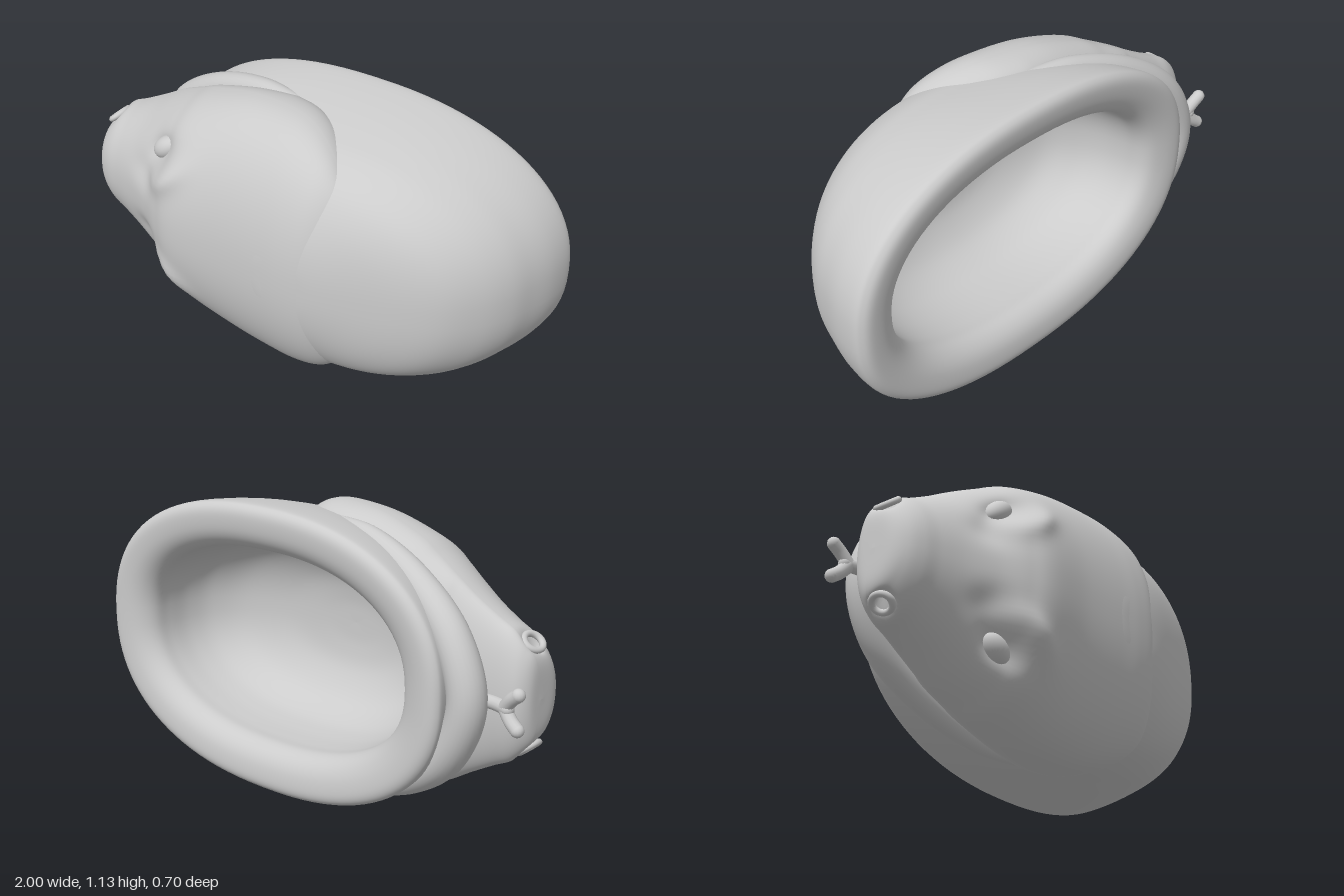
import * as THREE from 'three';

const material = new THREE.MeshStandardMaterial({ color: 0xcccccc });
const doubleSided = new THREE.MeshStandardMaterial({ color: 0xcccccc, side: THREE.DoubleSide });

// Smoothly resample a short table of cross-sections into n + 1 rows
function resample(table, n) {
  const size = table[0].length;
  const spline = new THREE.CubicInterpolant(table.map((_, i) => i), table.flat(), size);
  const rows = [];
  for (let i = 0; i <= n; i++) rows.push([...spline.evaluate((i / n) * (table.length - 1))]);
  return rows;
}

// Skin a list of rings of equal point count
function loft(rings, closed) {
  const m = rings[0].length;
  const index = [];
  for (let i = 0; i < rings.length - 1; i++) {
    for (let j = 0; j < (closed ? m : m - 1); j++) {
      const k = (j + 1) % m;
      const a = i * m + j, b = i * m + k, c = a + m, d = b + m;
      index.push(a, c, d, a, d, b);
    }
  }
  const geometry = new THREE.BufferGeometry();
  geometry.setAttribute('position', new THREE.Float32BufferAttribute(rings.flat(2), 3));
  geometry.setIndex(index);
  geometry.computeVertexNormals();
  return geometry;
}

const rounded = (v, p) => Math.sign(v) * Math.abs(v) ** p;

// Oval ring in the xy plane at depth z, from x0 to x1, half height h
function ovalRing([z, x0, x1, h]) {
  return Array.from({ length: 96 }, (_, j) => {
    const a = (j / 96) * Math.PI * 2;
    return [
      (x0 + x1) / 2 + ((x1 - x0) / 2) * rounded(Math.cos(a), 0.87),
      Math.max(h, 0) * rounded(Math.sin(a), 0.87), z];
  });
}

const bump = (dx, dy, rx, ry) => Math.exp(-((dx / rx) ** 2) - (dy / ry) ** 2);

// Section of the head across x: half width w, from zb up to zt, open below where it covers the bowl
function headRing([x, w, zt, zb]) {
  const zm = zb + 0.27 * (zt - zb);
  const k = 0.9 * THREE.MathUtils.clamp((x + 0.62) / 0.55, 0, 1) ** 0.35;
  const ring = [];
  for (let j = 0; j <= 120; j++) {
    const a = -Math.PI / 2 + (j / 120) * Math.PI * 2;
    const c = Math.cos(a), s = Math.sin(a);
    let y = -w * rounded(c, 0.93), z;
    if (s >= 0) {
      z = zm + (zt - zm) * s ** 0.93;
      // slanting brow ridge with the eye hollow outside it, and dents beside the snout
      const dx = x + 0.48, dy = Math.abs(y) - 0.27;
      const along = 0.78 * dx + 0.62 * dy, across = 0.78 * dy - 0.62 * dx;
      z += s * 0.035 * bump(along, across + 0.05, 0.12, 0.05);
      z -= s * 0.075 * bump(along + 0.03, across - 0.025, 0.1, 0.055);
      z -= s * 0.025 * bump(x + 0.6, Math.abs(y) - 0.14, 0.08, 0.06);
    } else {
      z = zm + (zm - zb) * s;
      y = -w * Math.sign(c) * (k + (1 - k) * Math.abs(c));
    }
    // nostril dent
    y *= 1 - 0.3 * bump(x + 0.905, z + 0.045, 0.022, 0.035);
    ring.push([x, y, z]);
  }
  return ring;
}

// Lower jaw: a U-shaped roll, thinning towards both ends
function jawGeometry() {
  const half = [[-0.05, 0.49, -0.1], [-0.25, 0.47, -0.145], [-0.5, 0.375, -0.2], [-0.7, 0.215, -0.24]];
  const points = [...half, [-0.78, 0, -0.25], ...half.map(([x, y, z]) => [x, -y, z]).reverse()];
  const path = new THREE.CatmullRomCurve3(points.map((p) => new THREE.Vector3(...p)));
  const rings = [];
  for (let i = 0; i <= 80; i++) {
    const p = path.getPoint(i / 80), t = path.getTangent(i / 80);
    const out = new THREE.Vector3(t.y, -t.x, 0).normalize();
    const r = 0.035 + 0.037 * Math.sin((Math.PI * i) / 80);
    rings.push(Array.from({ length: 24 }, (_, j) => {
      const a = (j / 24) * Math.PI * 2;
      return [p.x + out.x * r * Math.cos(a), p.y + out.y * r * Math.cos(a), p.z + r * Math.sin(a)];
    }));
  }
  return loft(rings, true);
}

export function createModel() {
  const model = new THREE.Group();
  const body = new THREE.Group();
  body.name = 'snakeHeadBowl';
  body.position.y = 0.565;
  model.add(body);

  const add = (name, geometry, mat = material) => {
    const mesh = new THREE.Mesh(geometry, mat);
    mesh.name = name;
    body.add(mesh);
    return mesh;
  };

  // Bowl: outside, over the broad rounded rim, then down the hollow
  const bowl = [
    [0.345, 0.12, 0.12, 0], [0.34, 0, 0.25, 0.12], [0.315, -0.1, 0.39, 0.235],
    [0.265, -0.25, 0.59, 0.345], [0.2, -0.38, 0.735, 0.425], [0.1, -0.48, 0.845, 0.485],
    [0, -0.55, 0.915, 0.515], [-0.1, -0.62, 0.955, 0.538], [-0.2, -0.69, 0.987, 0.555],
    [-0.3, -0.72, 1, 0.565], [-0.335, -0.715, 0.985, 0.555], [-0.35, -0.68, 0.95, 0.52],
    [-0.342, -0.62, 0.885, 0.455], [-0.315, -0.56, 0.835, 0.41], [-0.27, -0.53, 0.805, 0.385],
    [-0.2, -0.52, 0.8, 0.385], [-0.1, -0.5, 0.79, 0.38], [0, -0.45, 0.75, 0.36],
    [0.1, -0.36, 0.65, 0.3], [0.17, -0.2, 0.47, 0.2], [0.195, -0.04, 0.28, 0.1],
    [0.2, 0.12, 0.12, 0]];
  add('bowl', loft(resample(bowl, 126).map(ovalRing), true));

  // Head draped over the front of the bowl: x, half width, top, bottom
  const head = [
    [-0.955, 0, -0.05, -0.06], [-0.95, 0.13, 0.03, -0.12], [-0.92, 0.19, 0.08, -0.16],
    [-0.87, 0.24, 0.11, -0.175], [-0.8, 0.275, 0.13, -0.18], [-0.7, 0.33, 0.165, -0.19],
    [-0.6, 0.39, 0.215, -0.195], [-0.5, 0.44, 0.28, -0.185], [-0.4, 0.487, 0.32, -0.17],
    [-0.2, 0.543, 0.325, -0.135], [0, 0.557, 0.34, -0.1], [0.12, 0.538, 0.348, -0.05],
    [0.22, 0.488, 0.34, 0.03], [0.29, 0.42, 0.3, 0.11], [0.31, 0.37, 0.24, 0.15]];
  add('head', loft(resample(head, 112).map(headRing), false), doubleSided);
  add('lowerJaw', jawGeometry());

  // Eyes and nostrils on both sides
  for (const side of [-1, 1]) {
    const eye = add('eye', new THREE.SphereGeometry(0.06, 32, 20));
    eye.scale.set(1.15, 0.75, 0.8);
    eye.position.set(-0.515, side * 0.275, 0.14);
    eye.rotation.z = side * 0.65;

    const nostril = add('nostrilRim', new THREE.TorusGeometry(0.036, 0.012, 14, 32));
    nostril.scale.y = 1.2;
    nostril.position.set(-0.905, side * 0.195, -0.045);
    nostril.rotation.set(Math.PI / 2, side * 0.7, 0);
  }

  // Forked tongue
  const strand = (name, points) => {
    const path = new THREE.CatmullRomCurve3(points.map((p) => new THREE.Vector3(...p)));
    add(name, new THREE.TubeGeometry(path, 16, 0.025, 14));
    add(name + 'Tip', new THREE.SphereGeometry(0.025, 14, 10)).position.set(...points.at(-1));
  };
  strand('tongueStem', [[-0.78, 0, -0.19], [-0.86, 0, -0.195], [-0.925, 0, -0.215]]);
  for (const side of [-1, 1]) {
    strand('tongueFork', [[-0.91, 0, -0.21], [-0.945, side * 0.04, -0.22], [-0.975, side * 0.063, -0.225]]);
  }
  return model;
}
